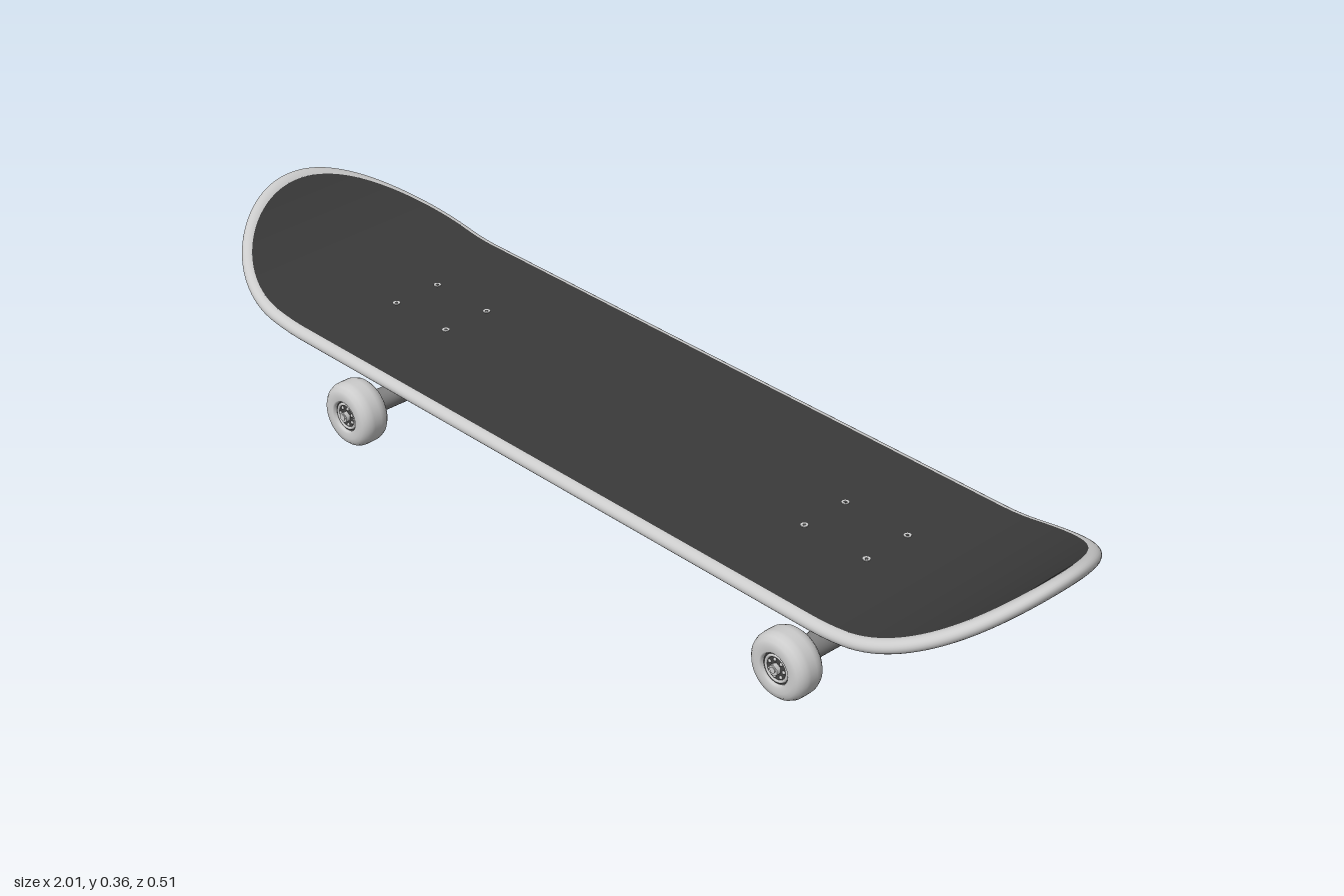
import * as THREE from 'three';
import { ParametricGeometry } from 'three/addons/geometries/ParametricGeometry.js';
import { RoundedBoxGeometry } from 'three/addons/geometries/RoundedBoxGeometry.js';

const mat = (color) => new THREE.MeshStandardMaterial({ color });
const light = mat(0xcccccc);
const black = mat(0x3a3a3a);
const beige = mat(0xb8afa4);
const metal = mat(0x808080);
const dark = mat(0x444444);

const R = 0.255;          // half width and end radius of the deck
const STRAIGHT = 0.745;   // where the rounded ends begin
const HALF = 0.0135;      // half thickness
const MID = 0.2165;       // height of the deck's middle layer
const BEND_X = 0.665, BEND_R = 0.48;

function add(parent, name, geometry, material, x = 0, y = 0, z = 0) {
  const mesh = new THREE.Mesh(geometry, material);
  mesh.name = name;
  mesh.position.set(x, y, z);
  parent.add(mesh);
  return mesh;
}

// Cylinder between two points
function rod(parent, name, a, b, ra, rb, material, sides = 20) {
  const A = new THREE.Vector3(...a), B = new THREE.Vector3(...b);
  const dir = B.clone().sub(A);
  const mesh = add(parent, name, new THREE.CylinderGeometry(rb, ra, dir.length(), sides), material);
  mesh.position.copy(A).add(B).multiplyScalar(0.5);
  mesh.quaternion.setFromUnitVectors(new THREE.Vector3(0, 1, 0), dir.normalize());
  return mesh;
}

// Half of the deck outline, t from -1 to 1 along x
function outline(t, inset) {
  const r = R - inset, s = Math.sign(t), k = Math.abs(t);
  if (k <= 0.5) return [t * 2 * STRAIGHT, r];
  const a = (k - 0.5) * Math.PI;
  return [s * (STRAIGHT + r * Math.sin(a)), r * Math.cos(a)];
}

// Curl a flat deck point up at nose and tail
function bend(x, h, z, target) {
  const s = Math.sign(x), over = Math.max(0, Math.abs(x) - BEND_X);
  const a = Math.asin(over / BEND_R);
  target.set(x - s * Math.sin(a) * h, MID + BEND_R * (1 - Math.cos(a)) + Math.cos(a) * h, z);
}

function buildDeck(group) {
  const INSET = 0.016;
  const panel = (side) => new ParametricGeometry((u, v, p) => {
    const [x, z] = outline((v * 2 - 1) * 0.996, INSET);
    bend(x, side * HALF, side * (u * 2 - 1) * z, p);
  }, 4, 120);
  add(group, 'gripSurface', panel(1), black);
  add(group, 'deckUnderside', panel(-1), black);

  // Rounded edge running around the whole board
  const rim = new ParametricGeometry((u, v, p) => {
    const front = u < 0.5, a = (v - 0.5) * Math.PI;
    const [x, z] = outline(front ? 4 * u - 1 : 3 - 4 * u, INSET * (1 - Math.cos(a)));
    bend(x, HALF * Math.sin(a), front ? z : -z, p);
  }, 240, 12);
  add(group, 'deckEdge', rim, light);
}

// Truck base: side profile extruded, then narrowed towards the bottom
function pedestalGeometry() {
  const s = new THREE.Shape();
  s.moveTo(0.655, 0.19);
  s.lineTo(0.64, 0.126);
  s.lineTo(0.6, 0.122);
  s.quadraticCurveTo(0.57, 0.15, 0.535, 0.148);
  s.lineTo(0.475, 0.128);
  s.lineTo(0.46, 0.19);
  s.closePath();
  const g = new THREE.ExtrudeGeometry(s, { depth: 2, bevelEnabled: false, curveSegments: 8 });
  const p = g.attributes.position;
  for (let i = 0; i < p.count; i++) {
    const drop = THREE.MathUtils.clamp((0.19 - p.getY(i)) / 0.065, 0, 1);
    const foot = p.getX(i) > 0.57 ? 0.016 : 0.031;
    p.setZ(i, (p.getZ(i) - 1) * THREE.MathUtils.lerp(0.042, foot, drop));
  }
  g.computeVertexNormals();
  return g;
}

const AX = 0.572, AY = 0.066;

// Axle housing that swells towards the kingpin in the middle
function hangerGeometry() {
  return new ParametricGeometry((u, v, p) => {
    const a = u * Math.PI * 2, z = (v * 2 - 1) * 0.175;
    const k = Math.max(0, 1 - Math.abs(z) / 0.15);
    const swell = k * k * (1 - 0.25 * k);
    const reach = Math.max(0, Math.cos(a - 2.4)) * swell;
    const r = 0.022 + 0.003 * k;
    p.set(AX + r * Math.cos(a) - 0.06 * reach, AY + r * Math.sin(a) + 0.06 * reach, z);
  }, 32, 40);
}

function wheelGeometry() {
  const half = [[0.065, 0.008], [0.0645, 0.015], [0.061, 0.024], [0.054, 0.031],
    [0.045, 0.0325], [0.034, 0.0325], [0.031, 0.03], [0.03, 0.022]];
  const pts = [...half.map(([r, y]) => [r, -y]).reverse(), ...half];
  return new THREE.LatheGeometry(pts.map(([r, y]) => new THREE.Vector2(r, y)), 40).rotateX(Math.PI / 2);
}

function buildTruck() {
  const truck = new THREE.Group();
  truck.name = 'truck';
  add(truck, 'basePlate', new RoundedBoxGeometry(0.203, 0.018, 0.138, 3, 0.006), beige, 0.557, 0.196, 0);
  add(truck, 'basePedestal', pedestalGeometry(), beige);
  add(truck, 'hanger', hangerGeometry(), metal);
  rod(truck, 'pivotArm', [0.578, 0.082, 0], [0.626, 0.135, 0], 0.017, 0.012, metal);

  // Kingpin with its bushings, washers and nut
  const along = (t) => [0.535 - 0.053 * t, 0.165 - 0.088 * t, 0];
  const stack = [
    ['upperBushing', 0.15, 0.42, 0.026, 0.029, dark],
    ['upperWasher', 0.42, 0.46, 0.031, 0.031, light],
    ['kingpinRing', 0.46, 0.62, 0.029, 0.029, metal],
    ['lowerBushing', 0.62, 0.83, 0.026, 0.02, dark],
    ['lowerWasher', 0.83, 0.87, 0.023, 0.023, light],
    ['kingpinNut', 0.87, 0.97, 0.014, 0.014, light, 6],
    ['kingpin', 0.1, 1.03, 0.007, 0.007, light],
  ];
  for (const [name, a, b, ra, rb, m, sides] of stack) rod(truck, name, along(a), along(b), ra, rb, m, sides);

  rod(truck, 'axle', [AX, AY, -0.232], [AX, AY, 0.232], 0.006, 0.006, light);
  const wheelGeo = wheelGeometry();
  for (const s of [-1, 1]) {
    const wheel = new THREE.Group();
    wheel.name = 'wheel';
    wheel.position.set(AX, 0.065, s * 0.1965);
    add(wheel, 'tyre', wheelGeo, light);
    rod(wheel, 'bearingShield', [0, 0, -0.025], [0, 0, 0.025], 0.031, 0.031, dark, 32);
    for (const f of [-1, 1]) {
      add(wheel, 'bearingRing', new THREE.TorusGeometry(0.025, 0.003, 8, 32), light, 0, 0, f * 0.025);
      // Bearing balls
      for (let i = 0; i < 7; i++) {
        const a = i / 7 * Math.PI * 2;
        add(wheel, 'bearingBall', new THREE.SphereGeometry(0.0035, 8, 6), light,
          0.0175 * Math.cos(a), 0.0175 * Math.sin(a), f * 0.025);
      }
    }
    rod(wheel, 'axleNut', [0, 0, s * 0.024], [0, 0, s * 0.034], 0.011, 0.011, light, 6);
    truck.add(wheel);
  }

  // Mounting bolts through the deck
  for (const x of [0.47, 0.615]) for (const z of [-0.052, 0.052]) {
    rod(truck, 'boltHead', [x, 0.222, z], [x, 0.2312, z], 0.007, 0.007, light, 16);
    rod(truck, 'boltSocket', [x, 0.223, z], [x, 0.2316, z], 0.0035, 0.0035, dark, 6);
    rod(truck, 'boltNut', [x, 0.181, z], [x, 0.19, z], 0.008, 0.008, light, 6);
  }
  return truck;
}

export function createModel() {
  const model = new THREE.Group();
  model.name = 'skateboard';
  buildDeck(model);
  for (const turn of [0, Math.PI]) {
    const truck = buildTruck();
    truck.rotation.y = turn;
    model.add(truck);
  }
  return model;
}
